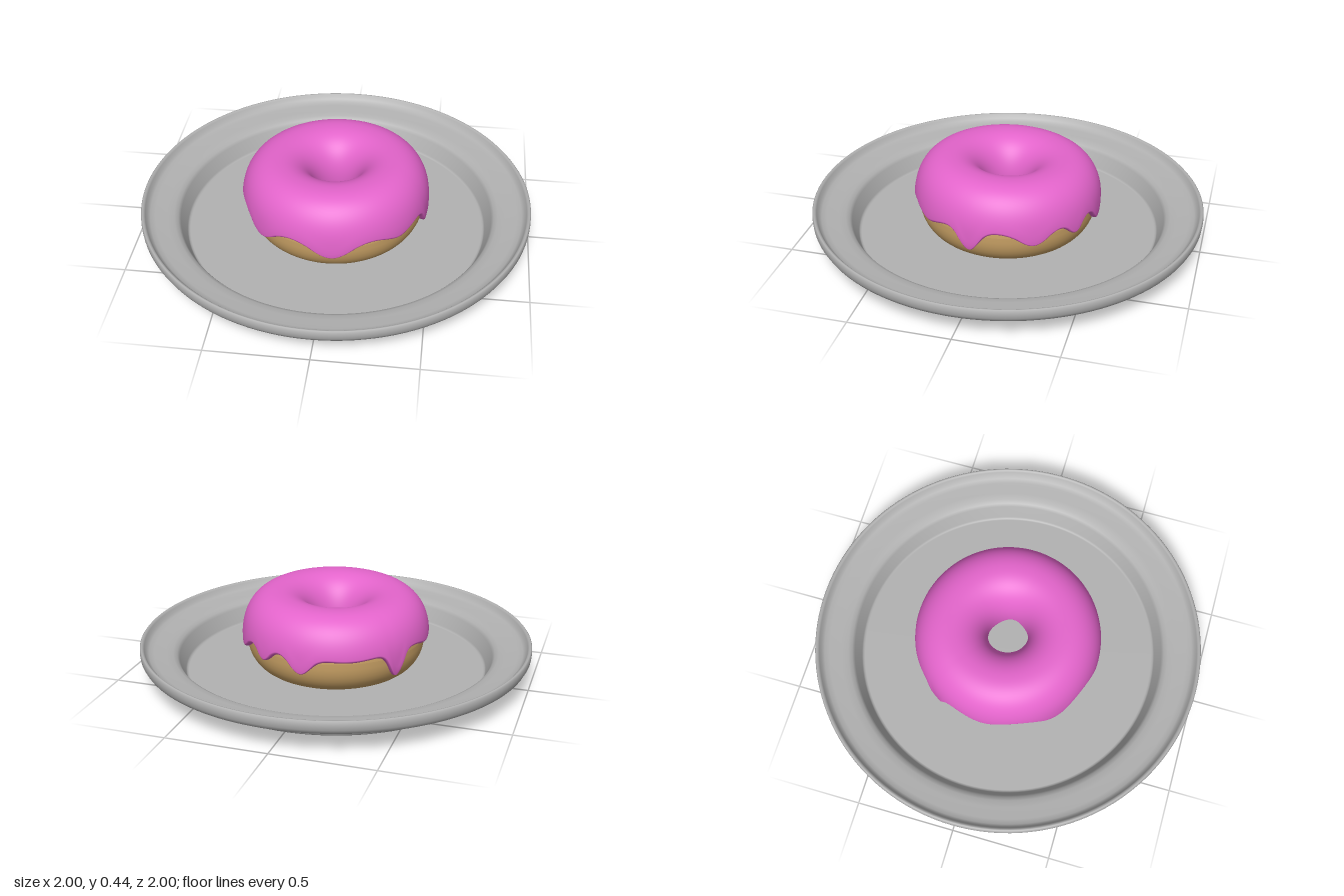
import * as THREE from 'three';

const RING = 0.29, MID = 0.205, POWER = 2.2;
const rad = THREE.MathUtils.degToRad;

// Rounded tube section of the ring: angle phi starts at the outer side and runs over the top
function ringPoint(theta, phi, offset, lift = 0) {
  const sp = (v) => Math.sign(v) * Math.abs(v) ** (2 / POWER);
  const up = Math.sin(phi) > 0 ? lift : 0;
  const r = RING + (0.165 + offset) * sp(Math.cos(phi));
  const y = MID + (0.185 + offset + up) * sp(Math.sin(phi));
  return [r * Math.sin(theta), y, r * Math.cos(theta)];
}

// Surface closed around the ring, made of rows of points
function ringSurface(rows, cols, pointAt) {
  const pos = [], idx = [];
  for (let i = 0; i <= rows; i++)
    for (let j = 0; j < cols; j++) pos.push(...pointAt(i, (j / cols) * Math.PI * 2));
  for (let i = 0; i < rows; i++)
    for (let j = 0; j < cols; j++) {
      const k = (j + 1) % cols, a = i * cols, b = a + cols;
      idx.push(a + j, a + k, b + j, a + k, b + k, b + j);
    }
  const g = new THREE.BufferGeometry();
  g.setAttribute('position', new THREE.Float32BufferAttribute(pos, 3));
  g.setIndex(idx);
  g.computeVertexNormals();
  return g;
}

// Icing drips: direction in degrees (from front towards +x), depth, half width
const DRIPS = [
  [-90, 0.03, 8], [-44, 0.07, 9], [4, 0.075, 10], [48, 0.035, 9], [81, 0.1, 5.5],
  [120, 0.065, 8], [149, 0.06, 5], [176, 0.08, 6], [205, 0.015, 12], [236, 0.115, 4.5],
];

function dripDepth(theta) {
  let d = 0;
  for (const [deg, depth, width] of DRIPS) {
    const gap = THREE.MathUtils.euclideanModulo(THREE.MathUtils.radToDeg(theta) - deg + 180, 360) - 180;
    d += depth * Math.exp(-0.5 * (gap / width) ** 2);
  }
  return d;
}

function icingGeometry() {
  const LIP = 6, BODY = 36, rows = LIP * 2 + BODY, thick = 0.022;
  return ringSurface(rows, 288, (i, theta) => {
    const drip = dripDepth(theta);
    const d = (0.228 - drip - MID) / 0.19;
    const start = Math.sign(d) * Math.asin(Math.abs(d) ** (POWER / 2));
    const end = Math.PI + 0.2 + 0.1 * Math.sin(3 * theta);
    const lift = 0.018 + 0.01 * Math.cos(theta - rad(35));
    // rounded lips at both edges, with a slight bead near the outer one
    const lip = (k) => [-0.005 + (thick + 0.005) * Math.sin((k / LIP) * Math.PI / 2),
      0.07 * (1 - Math.cos((k / LIP) * Math.PI / 2))];
    let offset = thick, phi;
    if (i < LIP) {
      const [o, p] = lip(i);
      offset = o; phi = start + p;
    } else if (i > LIP + BODY) {
      const [o, p] = lip(rows - i);
      offset = o; phi = end - p;
    } else {
      phi = THREE.MathUtils.lerp(start + 0.07, end - 0.07, (i - LIP) / BODY);
    }
    const bead = 0.05 * drip * Math.exp(-(((phi - start - 0.1) / 0.15) ** 2));
    return ringPoint(theta, phi, offset + bead, lift);
  });
}

export function createModel() {
  const mat = (name, color) => Object.assign(new THREE.MeshStandardMaterial({ color }), { name });
  const plateGray = mat('plateGray', 0xb2b2b2);
  const icingPink = mat('icingPink', 0xe364cb);
  const doughTan = mat('doughTan', 0xcba366);

  const model = new THREE.Group();
  model.name = 'donutOnPlate';
  const add = (name, geometry, material) => {
    const mesh = new THREE.Mesh(geometry, material);
    mesh.name = name;
    model.add(mesh);
  };

  // Plate: underside, rolled rim, then the inner well
  const profile = [
    [0, 0], [0.77, 0], [0.784, 0.001], [0.794, 0.012], [0.818, 0.08], [0.823, 0.09], [0.835, 0.096],
    [0.85, 0.097], [0.93, 0.098], [0.965, 0.103], [0.988, 0.116], [0.998, 0.135], [1, 0.155],
    [0.999, 0.172], [0.993, 0.179], [0.985, 0.178], [0.978, 0.17], [0.97, 0.153], [0.955, 0.141],
    [0.93, 0.135], [0.87, 0.13], [0.835, 0.125], [0.815, 0.115], [0.803, 0.1], [0.775, 0.03],
    [0.768, 0.021], [0.76, 0.02], [0, 0.02],
  ].map(([x, y]) => new THREE.Vector2(x, y));
  add('plate', new THREE.LatheGeometry(profile, 128), plateGray);

  // Dough ring
  add('dough', ringSurface(48, 128, (i, theta) => ringPoint(theta, (i / 48) * Math.PI * 2, 0)), doughTan);

  // Icing with drips
  add('icing', icingGeometry(), icingPink);
  return model;
}
